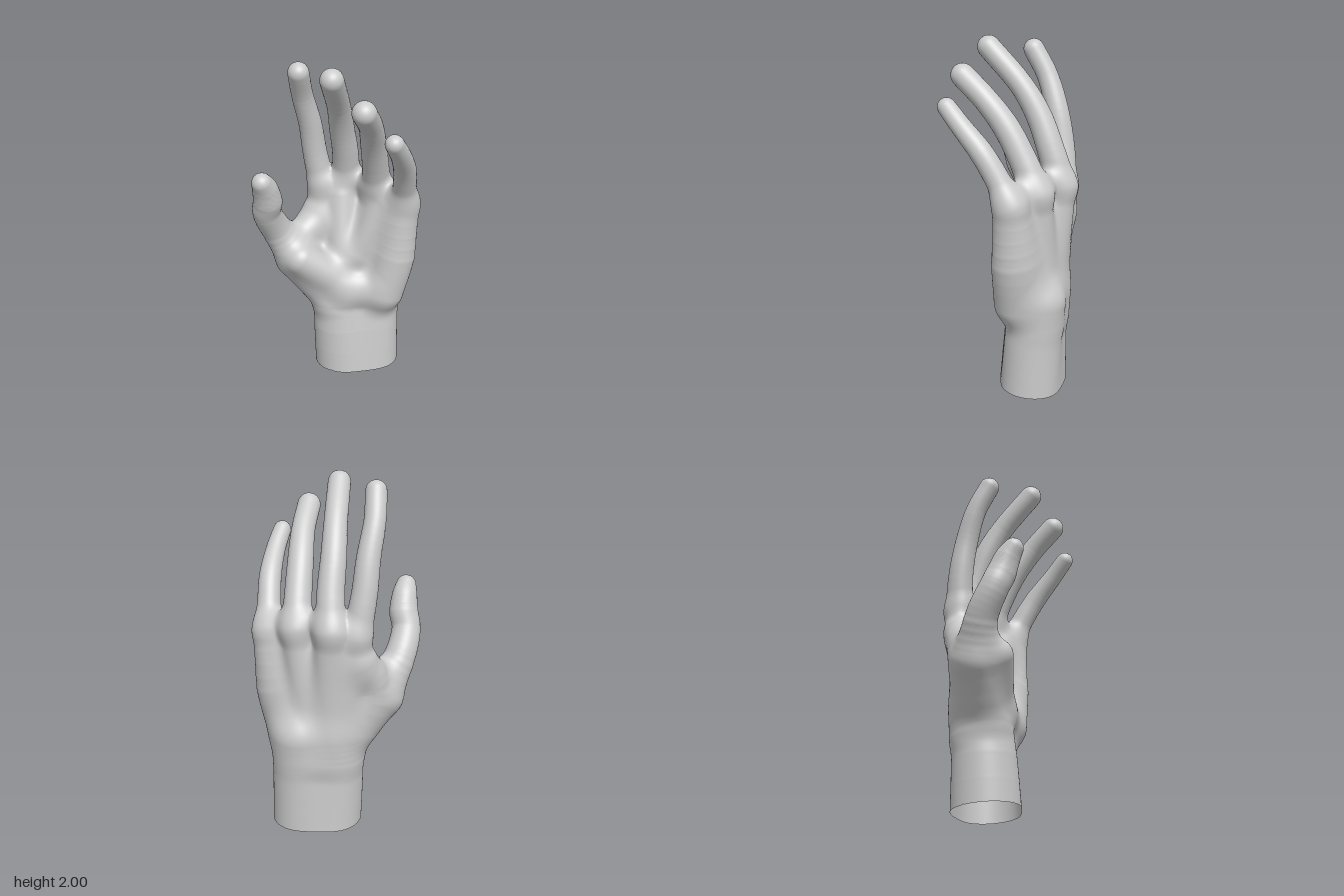
import * as THREE from 'three';
import { mergeVertices } from 'three/addons/utils/BufferGeometryUtils.js';

// Every limb is a chain of [x, y, z, radius] nodes; the skin is a smooth blend around them.
const DIGITS = {
  indexFinger: [[-.04, 1.15, -.29, .08], [-.085, 1.38, -.28, .072], [-.115, 1.57, -.25, .067],
    [-.165, 1.76, -.195, .061], [-.195, 1.91, -.115, .06]],
  middleFinger: [[.1, 1.18, -.275, .085], [.085, 1.38, -.215, .077], [.05, 1.57, -.145, .072],
    [.015, 1.73, -.05, .066], [-.055, 1.935, .135, .065]],
  ringFinger: [[.26, 1.17, -.14, .085], [.23, 1.36, -.06, .077], [.195, 1.53, .03, .073],
    [.155, 1.67, .14, .067], [.09, 1.795, .27, .067]],
  littleFinger: [[.39, 1.14, 0, .075], [.37, 1.29, .075, .067], [.345, 1.42, .155, .064],
    [.29, 1.55, .265, .056], [.235, 1.645, .345, .052]],
  thumb: [[-.22, .78, -.17, .12], [-.34, .97, -.14, .09], [-.4, 1.12, -.07, .082],
    [-.395, 1.2, -.035, .084], [-.41, 1.29, 0, .073], [-.43, 1.345, .035, .058]],
};
const PALM = [
  // wrist, two columns side by side
  [[.09, -.15, -.12, .215], [.055, .4, -.145, .19], [.06, .55, -.17, .17]],
  [[.228, -.15, -.1, .188], [.24, .4, -.13, .175], [.25, .55, -.15, .17]],
  // outer edge pad
  [[.285, .55, -.03, .14], [.35, .8, -.01, .132], [.385, 1.1, .01, .093]],
  // thumb root and its front pad
  [[-.02, .5, -.13, .135], [-.215, .75, -.17, .145]],
  [[.08, .58, -.08, .12], [-.21, .8, -.06, .105]],
  // heel and hollow of the palm
  [[.08, .57, -.08, .12], [.24, .59, -.06, .12]],
  [[.05, .75, -.12, .1], [.06, 1.12, -.22, .085]],
  [[.15, .8, -.1, .1], [.3, 1.12, -.04, .08]],
  // muscle and web between thumb and index finger
  [[-.06, .6, -.19, .13], [-.15, .83, -.245, .105], [-.08, 1, -.28, .095]],
  [[-.25, .87, -.16, .09], [-.08, .96, -.24, .09]],
];

// Hand bones fan out from the wrist to the finger roots; a web strip joins the roots.
const digitNames = Object.keys(DIGITS);
const roots = digitNames.slice(0, 4).map(name => DIGITS[name][0]);
const bones = roots.map(([x, y, z, r], i) =>
  [[.04 + i * .067, .42, -.19 + i * .017, .13], [x, y, z, r + .01]]);
const web = roots.map(([x, y, z]) => [x, y + .05, z + .03, .06]);

// Sample a chain along a smooth curve and return its tapered segments.
function segments(nodes, steps) {
  const curve = new THREE.CatmullRomCurve3(nodes.map(n => new THREE.Vector3(n[0], n[1], n[2])));
  const last = nodes.length - 1, pts = [];
  for (let i = 0; i <= last * steps; i++) {
    const t = i / steps, k = Math.min(Math.floor(t), last - 1);
    const r = THREE.MathUtils.lerp(nodes[k][3], nodes[k + 1][3], t - k);
    pts.push([...curve.getPoint(t / last).toArray(), r]);
  }
  return pts.slice(1).map((b, i) => {
    const a = pts[i], d = [b[0] - a[0], b[1] - a[1], b[2] - a[2]];
    return { a, d, dr: b[3] - a[3], len2: d[0] ** 2 + d[1] ** 2 + d[2] ** 2 };
  });
}

function chainDistance(segs, x, y, z) {
  let best = 1e9;
  for (const { a, d, dr, len2 } of segs) {
    const px = x - a[0], py = y - a[1], pz = z - a[2];
    const t = Math.min(1, Math.max(0, (px * d[0] + py * d[1] + pz * d[2]) / len2));
    const ex = px - t * d[0], ey = py - t * d[1], ez = pz - t * d[2];
    best = Math.min(best, Math.sqrt(ex * ex + ey * ey + ez * ez) - a[3] - t * dr);
  }
  return best;
}

function blend(a, b, k) {
  const h = Math.max(k - Math.abs(a - b), 0) / k;
  return Math.min(a, b) - h * h * k / 4;
}

const palmChains = [...PALM, ...bones, web].map(n => segments(n, n.length > 2 ? 4 : 1));
const digitChains = digitNames.map(n => segments(DIGITS[n], 5));

function palmDistance(x, y, z) {
  let d = 1e9;
  for (const c of palmChains) d = blend(d, chainDistance(c, x, y, z), .075);
  return d + .014;
}

function digitDistance(x, y, z) {
  let d = 1e9, which = 0;
  digitChains.forEach((c, i) => {
    const e = chainDistance(c, x, y, z);
    if (e < d) { d = e; which = i; }
  });
  return [d, which];
}

function field(x, y, z) {
  return blend(palmDistance(x, y, z), digitDistance(x, y, z)[0], .05);
}

function partAt(x, y, z) {
  if (y < .42) return 'wrist';
  const [d, i] = digitDistance(x, y, z);
  return d < palmDistance(x, y, z) ? digitNames[i] : 'palm';
}

// Wrap the field in quads, one vertex per crossed grid cell.
// The grid leans with the tilted rim, so the skin ends there in a clean open edge.
function skin() {
  const h = .0125, n = [85, 164, 72], stride = [1, n[0], n[0] * n[1]];
  const gridPoint = (i, j, k) => {
    const z = -.45 + k * h;
    return [-.53 + i * h, (j - .5) * h + (z + .33) * .07, z];
  };
  const values = new Float32Array(n[0] * n[1] * n[2]);
  for (let k = 0, q = 0; k < n[2]; k++)
    for (let j = 0; j < n[1]; j++)
      for (let i = 0; i < n[0]; i++) values[q++] = field(...gridPoint(i, j, k));

  const positions = [], normals = [], cells = new Map(), parts = {};
  function vertex(q) {
    if (cells.has(q)) return cells.get(q);
    const base = [q % n[0], Math.floor(q / n[0]) % n[1], Math.floor(q / stride[2])];
    const sum = [0, 0, 0];
    let count = 0;
    for (let a = 0; a < 3; a++) {
      const b = (a + 1) % 3, c = (a + 2) % 3;
      for (let m = 0; m < 4; m++) {
        const u = m & 1, v = m >> 1, s = q + u * stride[b] + v * stride[c];
        const f = values[s], g = values[s + stride[a]];
        if ((f < 0) === (g < 0)) continue;
        sum[a] += f / (f - g); sum[b] += u; sum[c] += v;
        count++;
      }
    }
    const [x, y, z] = gridPoint(...base.map((v, a) => v + sum[a] / count)), e = .006;
    const normal = new THREE.Vector3(
      field(x + e, y, z) - field(x - e, y, z),
      field(x, y + e, z) - field(x, y - e, z),
      field(x, y, z + e) - field(x, y, z - e)).normalize();
    const id = positions.length / 3;
    positions.push(x, y, z);
    normals.push(normal.x, normal.y, normal.z);
    cells.set(q, id);
    return id;
  }

  for (let k = 1; k < n[2] - 1; k++)
    for (let j = 1; j < n[1] - 1; j++)
      for (let i = 1; i < n[0] - 1; i++) {
        const q = i + j * stride[1] + k * stride[2];
        for (let a = 0; a < 3; a++) {
          const inside = values[q] < 0;
          if (inside === (values[q + stride[a]] < 0)) continue;
          const sb = stride[(a + 1) % 3], sc = stride[(a + 2) % 3];
          const c = [q, q - sb, q - sb - sc, q - sc].map(vertex);
          if (!inside) c.reverse();
          const name = partAt(...gridPoint(i, j, k));
          (parts[name] ||= []).push(c[0], c[1], c[2], c[0], c[2], c[3]);
        }
      }
  return { positions, normals, parts };
}

export function createModel() {
  const group = new THREE.Group();
  group.name = 'hand';
  const material = new THREE.MeshStandardMaterial({ color: 0xcccccc, side: THREE.DoubleSide });
  const { positions, normals, parts } = skin();
  const whole = new THREE.BufferGeometry();
  whole.setAttribute('position', new THREE.Float32BufferAttribute(positions, 3));
  whole.setAttribute('normal', new THREE.Float32BufferAttribute(normals, 3));
  // One mesh per part; shared normals keep the seams invisible.
  for (const [name, index] of Object.entries(parts)) {
    whole.setIndex(index);
    const mesh = new THREE.Mesh(mergeVertices(whole.toNonIndexed(), 1e-5), material);
    mesh.name = name;
    group.add(mesh);
  }
  return group;
}
